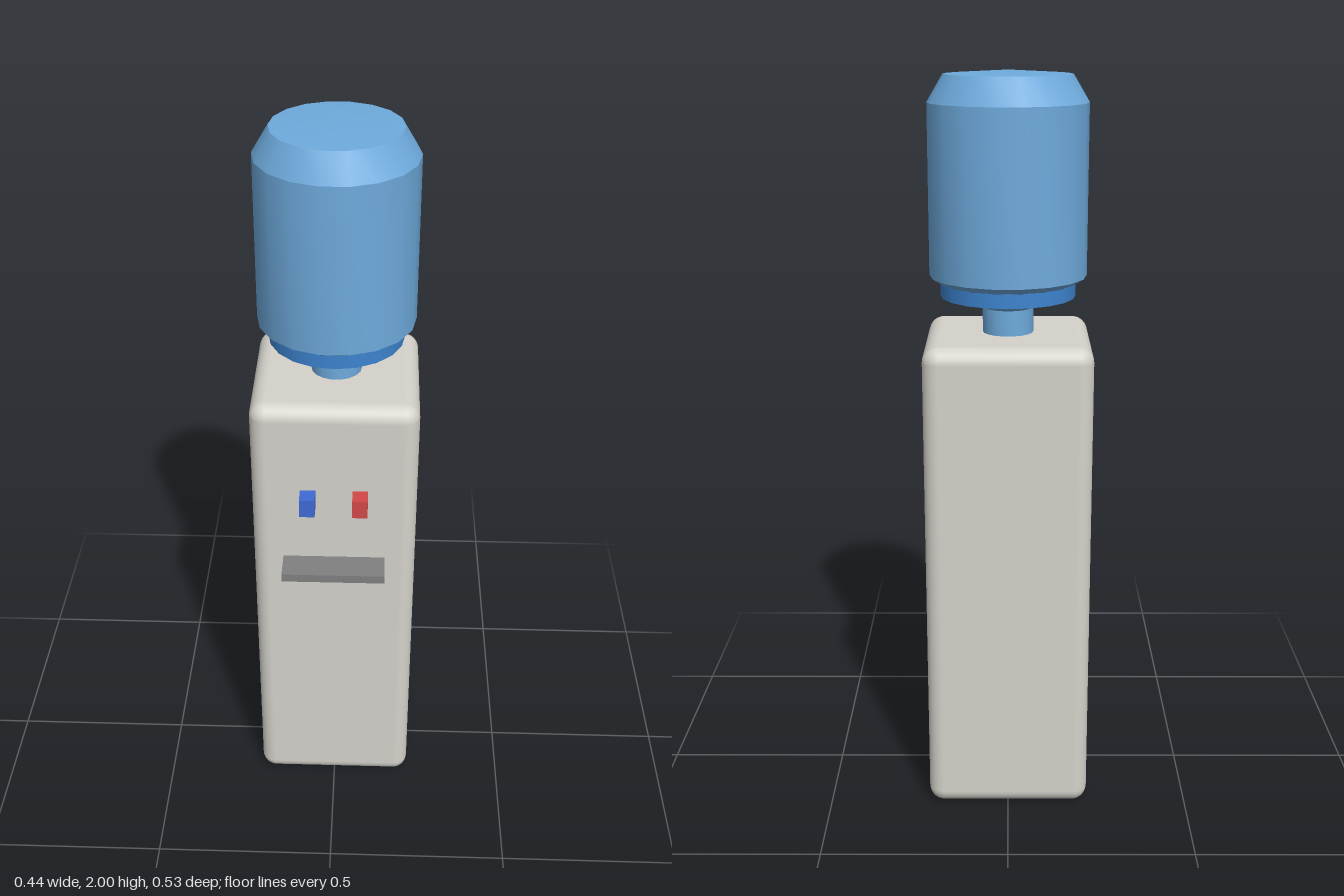
import * as THREE from 'three';
import { toCreasedNormals } from 'three/addons/utils/BufferGeometryUtils.js';
import { RoundedBoxGeometry } from 'three/addons/geometries/RoundedBoxGeometry.js';

const CENTER_Z = -0.042; // shared axis of cabinet and bottle

function material(name, color) {
  const m = new THREE.MeshStandardMaterial({ color });
  m.name = name;
  return m;
}

export function createModel() {
  const group = new THREE.Group();
  const mats = {
    cabinet: material('warm white plastic', 0xd4d2ca),
    bottle: material('light blue water', 0x6eaadc),
    collar: material('mid blue collar', 0x3d84cf),
    cold: material('cold blue', 0x3f6ad4),
    hot: material('hot red', 0xd24848),
    tray: material('grey tray', 0x808080),
  };

  function add(name, geometry, mat, x, y, z) {
    const mesh = new THREE.Mesh(geometry, mat);
    mesh.name = name;
    mesh.position.set(x, y, z);
    group.add(mesh);
    return mesh;
  }

  // Cabinet with rounded edges
  add('cabinet', new RoundedBoxGeometry(0.444, 1.322, 0.444, 4, 0.042), mats.cabinet, 0, 0.661, CENTER_Z);

  // Upturned bottle: neck, sloping shoulder, straight wall, bevelled base
  const profile = [
    [0, 1.3], [0.068, 1.3], [0.068, 1.39], [0.209, 1.475],
    [0.209, 1.92], [0.167, 1.99], [0, 2.0],
  ].map(([r, y]) => new THREE.Vector2(r, y));
  const bottle = toCreasedNormals(new THREE.LatheGeometry(profile, 18, Math.PI / 18), 0.5);
  add('bottle', bottle, mats.bottle, 0, 0, CENTER_Z);

  // Collar under the bottle
  add('collar', new THREE.CylinderGeometry(0.18, 0.18, 0.042, 20), mats.collar, 0, 1.441, CENTER_Z);

  // Taps
  for (const [name, mat, x] of [['coldTap', mats.cold, -0.07], ['hotTap', mats.hot, 0.07]]) {
    add(name, new THREE.BoxGeometry(0.041, 0.053, 0.07), mat, x, 1.045, 0.193);
  }

  // Drip tray
  add('dripTray', new THREE.BoxGeometry(0.278, 0.024, 0.11), mats.tray, 0, 0.838, 0.208);

  return group;
}
